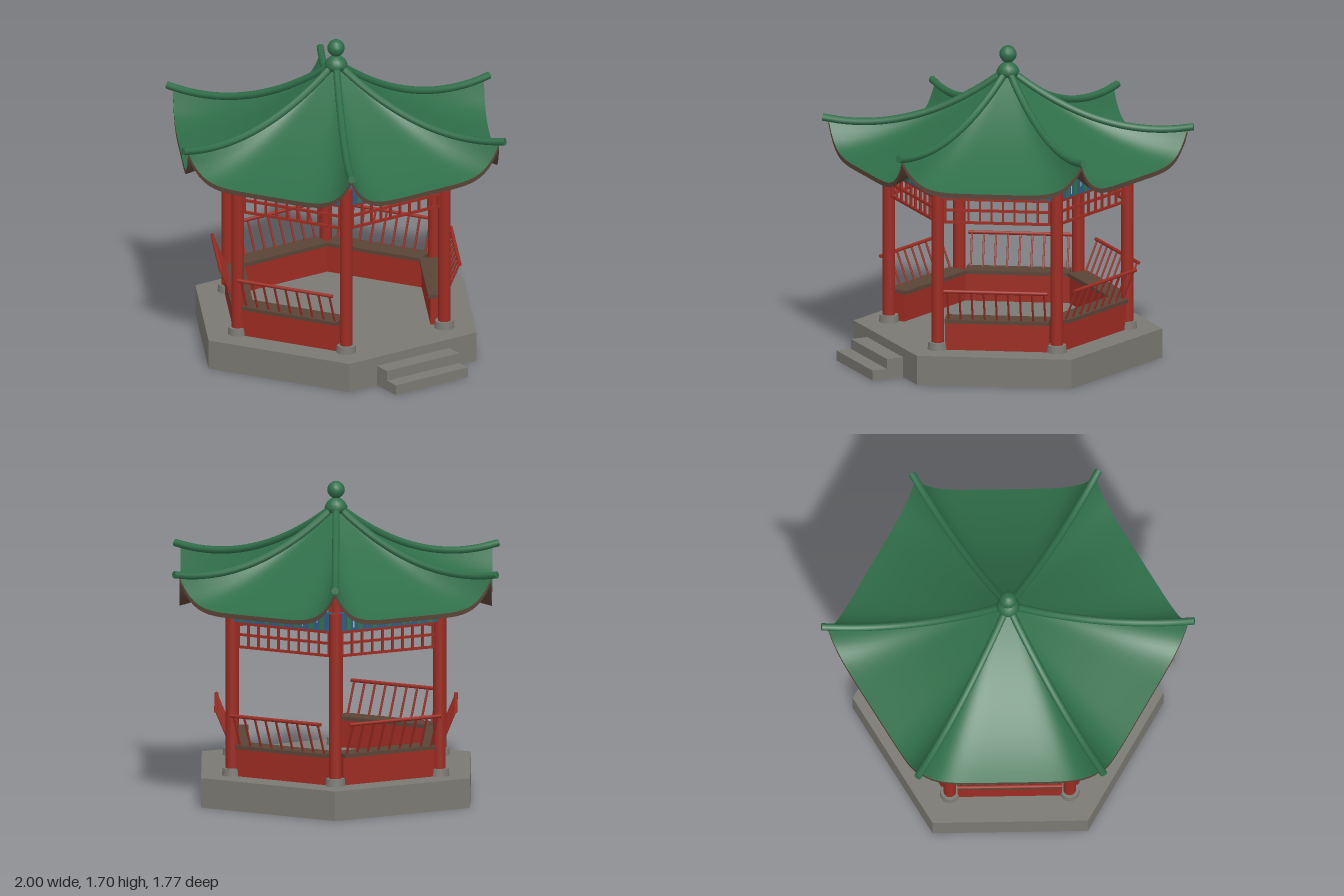
import * as THREE from 'three';

const mat = (name, color, extra = {}) => {
  const m = new THREE.MeshStandardMaterial({ color, ...extra });
  m.name = name;
  return m;
};

export function createModel() {
  const green = mat('roofGreen', 0x2f6e49);
  const brown = mat('woodBrown', 0x5a4437);
  const red = mat('lacquerRed', 0x9c2c22);
  const stone = mat('stoneGrey', 0x7b7973);
  const blue = mat('friezeBlue', 0x2f5c80);
  const leaf = mat('friezeGreen', 0x2f7350);
  const pale = mat('friezePale', 0xa9c4b4);

  const model = new THREE.Group();
  model.name = 'hexagonalPavilion';
  const body = new THREE.Group();
  body.name = 'pavilion';
  body.position.z = -0.014;
  model.add(body);

  const add = (parent, name, geo, material, x = 0, y = 0, z = 0) => {
    const m = new THREE.Mesh(geo, material);
    m.name = name;
    m.position.set(x, y, z);
    parent.add(m);
    return m;
  };
  const box = (parent, name, material, w, h, d, x, y, z) =>
    add(parent, name, new THREE.BoxGeometry(w, h, d), material, x, y, z);
  // Round bar between two points
  const bar = (parent, name, material, r, a, b, sides = 8) => {
    const from = new THREE.Vector3(...a), to = new THREE.Vector3(...b);
    const dir = to.clone().sub(from);
    const m = add(parent, name, new THREE.CylinderGeometry(r, r, dir.length(), sides), material);
    m.position.copy(from).add(to).multiplyScalar(0.5);
    m.quaternion.setFromUnitVectors(new THREE.Vector3(0, 1, 0), dir.normalize());
    return m;
  };

  // Stone platform with corners on the x axis
  const slab = new THREE.CylinderGeometry(0.83, 0.83, 0.16, 6).rotateY(Math.PI / 6).toNonIndexed();
  slab.computeVertexNormals();
  add(body, 'platform', slab, stone, 0, 0.08, 0);
  box(model, 'lowerStep', stone, 0.47, 0.055, 0.194, 0, 0.0275, 0.787);
  box(model, 'upperStep', stone, 0.47, 0.11, 0.11, 0, 0.055, 0.745);

  // Roof: ridge height along the radius, sagging toward the middle of each eave
  const R = 0.963, A = R * Math.cos(Math.PI / 6), THICK = 0.025;
  const ridgeY = t => 1.56 - 0.754 * t + 0.454 * t * t;
  const roofPoint = (t, s) =>
    [s * t * R / 2, ridgeY(t) - 0.17 * t * t * (1 - Math.abs(s) ** 6), A * t];

  // Surface from a rule f(u, v) on a grid
  const surface = (nu, nv, f, flip) => {
    const pos = [], idx = [];
    for (let i = 0; i <= nu; i++)
      for (let j = 0; j <= nv; j++) pos.push(...f(i / nu, j / nv));
    for (let i = 0; i < nu; i++)
      for (let j = 0; j < nv; j++) {
        const a = i * (nv + 1) + j, b = a + 1, c = a + nv + 1, d = c + 1;
        if (flip) idx.push(a, b, c, b, d, c);
        else idx.push(a, c, b, b, c, d);
      }
    const g = new THREE.BufferGeometry();
    g.setAttribute('position', new THREE.Float32BufferAttribute(pos, 3));
    g.setIndex(idx);
    g.computeVertexNormals();
    return g;
  };
  const side = v => 2 * v - 1;
  const lower = p => [p[0], p[1] - THICK, p[2]];
  const tiles = surface(16, 32, (t, v) => roofPoint(t, side(v)));
  const soffit = surface(16, 32, (t, v) => lower(roofPoint(t, side(v))), true);
  const fascia = surface(1, 32, (u, v) => u ? lower(roofPoint(1, side(v))) : roofPoint(1, side(v)));

  // Ridge roll running past the corner
  const ridgePts = [];
  for (let i = 0; i <= 10; i++) {
    const t = 0.03 + i * 0.1005;
    ridgePts.push(new THREE.Vector3(R * t / 2, ridgeY(t) + 0.012, A * t));
  }
  const ridgeCurve = new THREE.CatmullRomCurve3(ridgePts);
  const ridge = new THREE.TubeGeometry(ridgeCurve, 28, 0.02, 8);

  const COL = 0.554; // distance from centre to the line of columns
  for (let k = 0; k < 6; k++) {
    const bay = new THREE.Group();
    bay.name = 'bay' + (k + 1);
    bay.rotation.y = k * Math.PI / 3;
    body.add(bay);

    add(bay, 'roofTiles', tiles, green);
    add(bay, 'roofUnderside', soffit, brown);
    add(bay, 'eaveEdge', fascia, brown);
    add(bay, 'roofRidge', ridge, green);
    const cap = add(bay, 'ridgeEnd', new THREE.CircleGeometry(0.02, 8), green);
    const tip = ridgeCurve.getPoint(1);
    cap.position.copy(tip);
    cap.quaternion.setFromUnitVectors(new THREE.Vector3(0, 0, 1), ridgeCurve.getTangent(1));

    // Column and its stone foot
    add(bay, 'column', new THREE.CylinderGeometry(0.034, 0.034, 0.93, 16), red, 0.32, 0.625, COL);
    add(bay, 'columnFoot', new THREE.CylinderGeometry(0.05, 0.054, 0.04, 16), stone, 0.32, 0.18, COL);

    // Painted beam with thin coloured plates on both faces
    box(bay, 'beam', blue, 0.6, 0.095, 0.044, 0, 1.045, COL);
    for (const f of [-1, 1]) {
      const z = COL + f * 0.0225;
      for (const x of [-0.25, -0.18, -0.09, 0, 0.09, 0.18, 0.25])
        box(bay, 'greenPanel', leaf, 0.026, 0.085, 0.003, x, 1.045, z);
      [-0.22, -0.13, -0.045, 0.045, 0.13, 0.22].forEach((x, i) =>
        box(bay, 'paleStripe', pale, 0.006, 0.045, 0.004, x, 1.045 + (i % 2 ? 0.015 : -0.01), z));
    }

    // Hanging lattice
    for (const y of [0.987, 0.927, 0.86])
      box(bay, 'latticeRail', red, 0.58, 0.013, 0.014, 0, y, COL);
    for (let i = 0; i <= 9; i++)
      box(bay, 'latticeBar', red, 0.011, 0.135, 0.012, -0.279 + i * 0.062, 0.924, COL);

    // Bench with a leaning backrest, leaving the front bay open
    if (k === 0) continue;
    box(bay, 'benchPanel', red, 0.56, 0.15, 0.09, 0, 0.235, 0.528);
    box(bay, 'benchSeat', brown, 0.56, 0.02, 0.12, 0, 0.32, 0.53);
    bar(bay, 'backrestRail', red, 0.01, [-0.28, 0.498, 0.64], [0.28, 0.498, 0.64]);
    for (let i = 0; i <= 8; i++) {
      const x = -0.26 + i * 0.065;
      bar(bay, 'backrestBar', red, 0.006, [x, 0.325, 0.568], [x, 0.498, 0.64], 6);
    }
  }

  // Finial: domed collar and ball
  const collar = [[0, 1.535], [0.055, 1.535], [0.062, 1.56], [0.05, 1.585], [0.025, 1.607], [0, 1.612]]
    .map(p => new THREE.Vector2(...p));
  add(body, 'finialCollar', new THREE.LatheGeometry(collar, 16), green);
  add(body, 'finialBall', new THREE.SphereGeometry(0.047, 12, 8), green, 0, 1.653, 0);

  return model;
}
